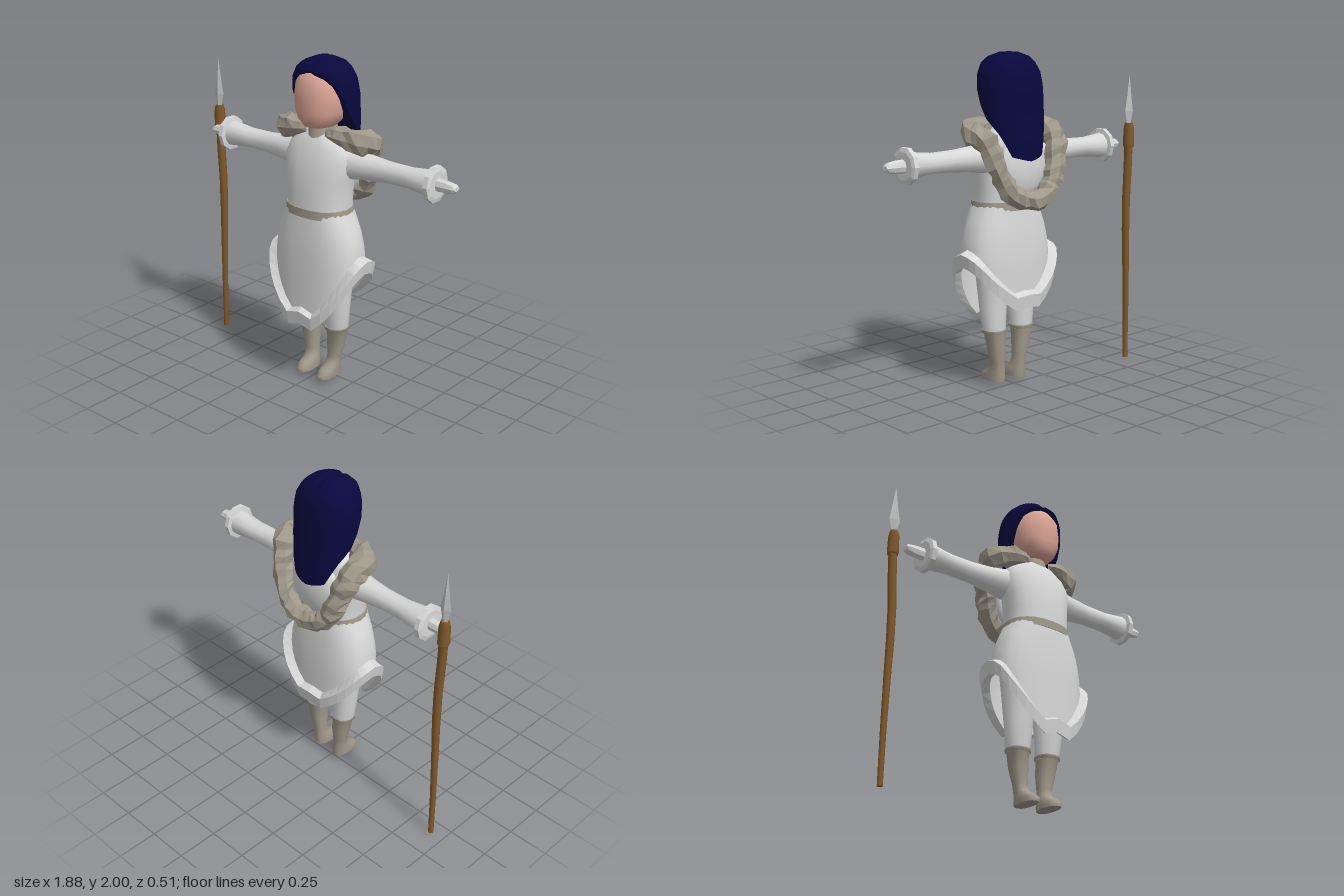
import * as THREE from 'three';

const mat = (name, color, side = THREE.FrontSide) => {
  const m = new THREE.MeshStandardMaterial({ color, side });
  m.name = name;
  return m;
};

// piecewise linear lookup in rows [key, a, b, ...] sorted by key
function look(table, k, col = 1) {
  if (k <= table[0][0]) return table[0][col];
  for (let i = 1; i < table.length; i++) {
    const p = table[i - 1], q = table[i];
    if (k <= q[0]) return p[col] + (q[col] - p[col]) * (k - p[0]) / (q[0] - p[0]);
  }
  return table[table.length - 1][col];
}

// point on a rounded cross-section; angle 0 is the front, then towards +x
function sectionPoint(a, y, rx, zf, zb, cx = 0, power = 1) {
  const s = Math.sin(a), c = Math.cos(a), zc = (zf + zb) / 2;
  const bend = (v) => Math.sign(v) * Math.abs(v) ** power;
  return [cx + rx * bend(s), y, zc + (zf - zb) / 2 * bend(c)];
}

// skin over rings that run from bottom to top
function loft(rings, { caps = true, flat = false, loop = false } = {}) {
  const n = rings[0].length, pos = rings.flat(2), index = [];
  const last = loop ? rings.length : rings.length - 1;
  for (let i = 0; i < last; i++) {
    const k = ((i + 1) % rings.length) * n;
    for (let j = 0; j < n; j++) {
      const a = i * n + j, b = i * n + (j + 1) % n, c = k + (j + 1) % n, d = k + j;
      index.push(a, b, c, a, c, d);
    }
  }
  if (caps && !loop) {
    [[rings[0], true], [rings[rings.length - 1], false]].forEach(([ring, down]) => {
      const base = pos.length / 3;
      ring.forEach((p) => pos.push(...p));
      pos.push(...[0, 1, 2].map((k) => ring.reduce((s, p) => s + p[k], 0) / n));
      for (let j = 0; j < n; j++) {
        const e = base + j, f = base + (j + 1) % n;
        index.push(base + n, down ? f : e, down ? e : f);
      }
    });
  }
  let g = new THREE.BufferGeometry();
  g.setAttribute('position', new THREE.Float32BufferAttribute(pos, 3));
  g.setIndex(index);
  if (flat) g = g.toNonIndexed();
  g.computeVertexNormals();
  return g;
}

const angles = (n) => Array.from({ length: n }, (_, j) => j / n * Math.PI * 2);
const fromFront = (a) => Math.min(a, Math.PI * 2 - a) / Math.PI;

// rows of [y, halfWidth, zFront, zBack, centreX]
const body = (rows, n = 20, power = 1, opts) =>
  loft(rows.map(([y, rx, zf, zb, cx = 0]) => angles(n).map((a) => sectionPoint(a, y, rx, zf, zb, cx, power))), opts);

export function createModel() {
  const cloth = mat('pale cloth', 0xd8d8d8, THREE.DoubleSide);
  const fur = mat('taupe fur and leather', 0xa0988a);
  const hairMat = mat('navy hair', 0x08083e, THREE.DoubleSide);
  const skin = mat('skin', 0xdca596);
  const wood = mat('wood', 0x80592c);
  const metal = mat('steel', 0xc4c4c4);

  const model = new THREE.Group();
  const figure = new THREE.Group();
  figure.name = 'figure';
  figure.position.x = 0.03;
  model.add(figure);
  const add = (name, geo, material, parent = figure) => {
    const m = new THREE.Mesh(geo, material);
    m.name = name;
    parent.add(m);
    return m;
  };

  // head and neck
  add('head', body([
    [1.6, 0.05, 0.1, -0.02], [1.612, 0.085, 0.15, -0.06], [1.65, 0.122, 0.175, -0.1], [1.7, 0.146, 0.185, -0.12],
    [1.78, 0.156, 0.187, -0.13], [1.86, 0.146, 0.18, -0.12], [1.92, 0.11, 0.145, -0.1], [1.955, 0.05, 0.08, -0.05],
  ], 28, 0.9), skin);
  add('neck', body([[1.48, 0.1, 0.13, -0.08], [1.56, 0.085, 0.12, -0.07], [1.64, 0.07, 0.09, -0.06]], 14), fur);

  // hair: dome whose lower edge follows the hairline
  const hairline = [[0, 1.955], [0.0625, 1.94], [0.2, 1.92], [0.3, 1.87], [0.4, 1.76], [0.48, 1.64],
    [0.55, 1.59], [0.65, 1.53], [0.75, 1.41], [1, 1.38]];
  const hairShape = [[1.38, 0.15, 0.08, -0.185], [1.5, 0.18, 0.1, -0.18], [1.65, 0.202, 0.14, -0.165],
    [1.8, 0.202, 0.165, -0.16], [1.88, 0.188, 0.165, -0.15], [1.94, 0.155, 0.16, -0.13],
    [1.975, 0.115, 0.125, -0.1], [2, 0.05, 0.06, -0.04]];
  const hairRows = [];
  for (let i = 0; i <= 12; i++) {
    const v = 1 - (1 - i / 12) ** 1.7;
    hairRows.push(angles(32).map((a) => {
      const end = look(hairline, fromFront(a)), y = end + (2 - end) * v;
      const p = sectionPoint(a, y, ...[1, 2, 3].map((c) => look(hairShape, y, c)), 0, 0.85);
      if (Math.abs(p[0]) < 0.012 && y > 1.94) p[1] -= 0.015; // parting
      return p;
    }));
  }
  add('hair', loft(hairRows), hairMat).geometry.setDrawRange(0, 12 * 32 * 6);
  add('hairCrown', loft([hairRows[12], angles(32).map(() => [0, 1.988, 0.01])], { caps: false }), hairMat);

  // upper tunic
  add('torso', body([
    [1.12, 0.2, 0.204, -0.1], [1.22, 0.203, 0.2, -0.1], [1.32, 0.217, 0.19, -0.1], [1.42, 0.235, 0.172, -0.1],
    [1.49, 0.215, 0.145, -0.1], [1.54, 0.15, 0.125, -0.09], [1.58, 0.08, 0.09, -0.06],
  ], 24, 0.85), cloth);
  add('belt', body([[1.087, 0.213, 0.212, -0.108], [1.138, 0.206, 0.21, -0.106]], 24, 0.85), fur);

  // skirt with pointed front and back
  const hem = [[0, 0.48], [0.0625, 0.455], [0.1, 0.485], [0.2, 0.59], [0.3, 0.69], [0.4, 0.785], [0.5, 0.82],
    [0.6, 0.8], [0.7, 0.74], [0.8, 0.66], [0.94, 0.555], [1, 0.565]];
  const skirtShape = [[0.4, 0.285, 0.225, -0.13], [0.8, 0.293, 0.222, -0.13], [0.9, 0.282, 0.22, -0.125],
    [1.0, 0.257, 0.215, -0.115], [1.13, 0.2, 0.204, -0.1]];
  const skirtPoint = (a, y, out = 0) => sectionPoint(a, y, look(skirtShape, y, 1) + out,
    look(skirtShape, y, 2) + out * 0.6, look(skirtShape, y, 3) - out * 0.8, 0, 0.8);
  const skirtRows = [];
  for (let i = 0; i <= 8; i++) {
    skirtRows.push(angles(32).map((a) => {
      const end = look(hem, fromFront(a));
      return skirtPoint(a, end + (1.13 - end) * i / 8);
    }));
  }
  add('skirt', loft(skirtRows, { caps: false }), cloth);
  const trimProfile = [[-0.005, -0.04], [0.04, -0.055], [0.055, 0.025], [0, 0.045]];
  add('skirtTrim', loft(trimProfile.map(([out, dy]) => angles(32).map((a) => {
    const y = look(hem, fromFront(a)), p = skirtPoint(a, y, out);
    p[1] += dy;
    return p;
  })), { loop: true, flat: true }), cloth);

  // arms and legs, one of each per side
  [-1, 1].forEach((s) => {
    const side = s > 0 ? 'left' : 'right';
    const arm = new THREE.Group();
    arm.name = side + 'Arm';
    arm.position.set(0, 1.403, -0.005);
    arm.rotation.z = -s * Math.PI / 2;
    figure.add(arm);
    add(side + 'Sleeve', body([
      [0.12, 0.1, 0.105, -0.09], [0.22, 0.09, 0.095, -0.085], [0.32, 0.074, 0.075, -0.075], [0.45, 0.063, 0.06, -0.06],
      [0.6, 0.06, 0.062, -0.065], [0.76, 0.078, 0.076, -0.078],
    ], 12), cloth, arm);
    add(side + 'Cuff', body([
      [0.745, 0.075, 0.075, -0.075], [0.75, 0.106, 0.102, -0.102], [0.778, 0.106, 0.102, -0.102], [0.785, 0.08, 0.08, -0.08],
    ], 10, 1, { flat: true }), cloth, arm);
    add(side + 'Hand', body([
      [0.77, 0.04, 0.033, -0.033], [0.85, 0.036, 0.032, -0.032], [0.89, 0.028, 0.03, -0.03], [0.905, 0.013, 0.025, -0.025],
    ], 8, 1, { flat: true }), cloth, arm);

    add(side + 'Trouser', body([
      [0.34, 0.065, 0.08, -0.035, s * 0.106], [0.37, 0.073, 0.092, -0.045, s * 0.108], [0.5, 0.088, 0.105, -0.045, s * 0.11],
      [0.7, 0.105, 0.13, -0.065, s * 0.11], [0.9, 0.12, 0.15, -0.085, s * 0.115],
    ], 14), cloth);
    add(side + 'Boot', body([
      [0.035, 0.046, 0.158, -0.025, s * 0.08], [0.06, 0.048, 0.162, -0.027, s * 0.08], [0.085, 0.045, 0.13, -0.026, s * 0.081],
      [0.115, 0.041, 0.075, -0.025, s * 0.083], [0.16, 0.042, 0.062, -0.026, s * 0.088], [0.25, 0.055, 0.07, -0.04, s * 0.098],
      [0.34, 0.062, 0.082, -0.042, s * 0.107], [0.345, 0.073, 0.094, -0.048, s * 0.107], [0.362, 0.073, 0.094, -0.048, s * 0.108],
    ], 12, 0.85), fur);
  });

  // fur collar running over the shoulders and round the hood on the back
  const half = [[0.07, 1.58, 0.07, 0.03], [0.17, 1.57, 0.07, 0.06], [0.27, 1.55, 0.02, 0.075], [0.27, 1.51, -0.08, 0.075],
    [0.225, 1.36, -0.14, 0.06], [0.165, 1.22, -0.17, 0.06], [0.08, 1.165, -0.185, 0.06]];
  const path = [...half, [0, 1.15, -0.19, 0.06], ...half.slice().reverse().map(([x, ...r]) => [-x, ...r])];
  const curve = new THREE.CatmullRomCurve3(path.map(([x, y, z]) => new THREE.Vector3(x, y, z)));
  const collar = new THREE.TubeGeometry(curve, 44, 1, 7);
  const p = collar.attributes.position, v = new THREE.Vector3();
  for (let i = 0; i <= 44; i++) {
    const centre = curve.getPointAt(i / 44);
    const t = curve.getUtoTmapping(i / 44) * (path.length - 1);
    const r = look(path.map((q, k) => [k, q[3]]), t);
    for (let j = 0; j <= 7; j++) {
      const noise = Math.abs(Math.sin(i * 12.99 + (j % 7) * 78.23) * 43758.5) % 1;
      v.fromBufferAttribute(p, i * 8 + j).sub(centre).multiplyScalar(r * (0.78 + 0.42 * noise)).add(centre);
      p.setXYZ(i * 8 + j, v.x, v.y, v.z);
    }
  }
  const collarFlat = collar.toNonIndexed();
  collarFlat.computeVertexNormals();
  add('furCollar', collarFlat, fur);
  const hood = add('hoodLining', new THREE.SphereGeometry(1, 16, 10), cloth);
  hood.scale.set(0.18, 0.19, 0.07);
  hood.position.set(0, 1.34, -0.1);

  // spear held upright beside the right hand
  const spear = new THREE.Group();
  spear.name = 'spear';
  spear.position.z = -0.082;
  model.add(spear);
  const rod = (rows, n) => body(rows.map(([y, r, x, rz = r]) => [y, r, rz, -rz, x]), n, 1, { flat: n < 6 });
  add('shaft', rod([[0, 0.016, -0.908], [0.3, 0.018, -0.906], [0.6, 0.021, -0.9], [0.85, 0.024, -0.893],
    [1.05, 0.025, -0.893], [1.25, 0.026, -0.903], [1.4, 0.026, -0.907]], 8), wood, spear);
  add('socket', rod([[1.38, 0.03, -0.907], [1.39, 0.035, -0.907], [1.5, 0.033, -0.907], [1.535, 0.024, -0.907]], 8), wood, spear);
  add('blade', rod([[1.53, 0.017, -0.907, 0.014], [1.61, 0.036, -0.907, 0.018], [1.7, 0.02, -0.907, 0.012],
    [1.83, 0.001, -0.907, 0.001]], 4), metal, spear);

  return model;
}
